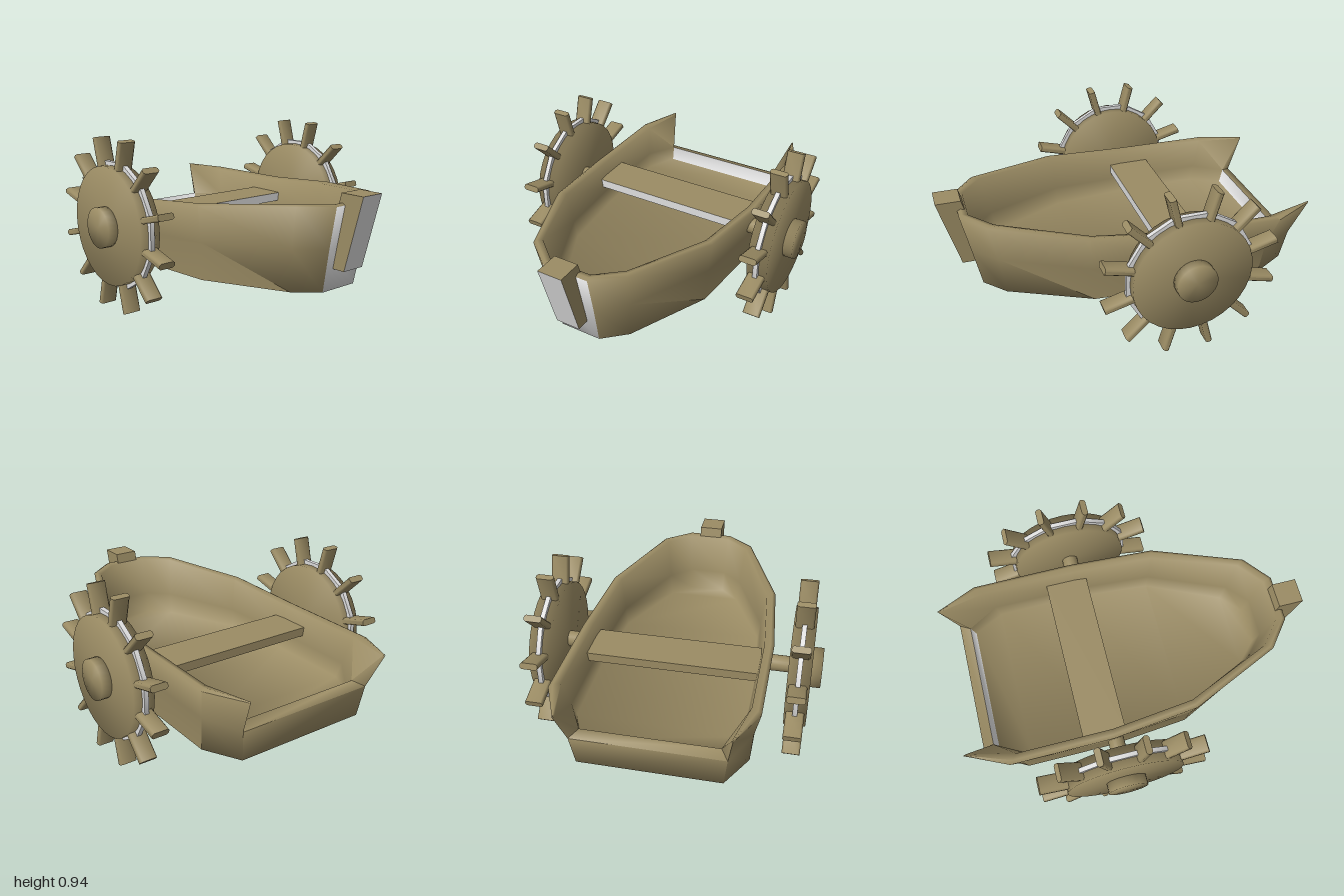
import * as THREE from 'three';
import { mergeVertices, toCreasedNormals } from 'three/addons/utils/BufferGeometryUtils.js';

const wood = new THREE.MeshStandardMaterial({ color: 0x9b8c64 });
wood.name = 'wood';
const grey = new THREE.MeshStandardMaterial({ color: 0xdedede });
grey.name = 'pale grey';

function part(name, geometry, material, parent) {
  const mesh = new THREE.Mesh(geometry, material);
  mesh.name = name;
  parent.add(mesh);
  return mesh;
}

// Blend the normals over all edges
function soften(g) {
  g.deleteAttribute('normal');
  g.deleteAttribute('uv');
  const merged = mergeVertices(g, 1e-4);
  merged.computeVertexNormals();
  return merged;
}

// Cylinder along x
function softCylinder(radius, x0, x1, sides = 32) {
  const g = new THREE.CylinderGeometry(radius, radius, x1 - x0, sides);
  return soften(g.rotateZ(Math.PI / 2).translate((x0 + x1) / 2, 0, 0));
}

function hullGeometry() {
  // Half stations from stern to bow: outer bottom, knuckle and rim
  const stations = [
    [[0.38, 0.22, -0.89], [0.4, 0.395, -0.915], [0.43, 0.595, -1.0]],
    [[0.485, 0.22, -0.7], [0.5, 0.41, -0.72], [0.535, 0.595, -0.77]],
    [[0.485, 0.22, -0.2], [0.5, 0.41, -0.2], [0.535, 0.6, -0.2]],
    [[0.445, 0.22, 0.25], [0.46, 0.43, 0.26], [0.49, 0.638, 0.28]],
    [[0.235, 0.22, 0.69], [0.255, 0.45, 0.72], [0.28, 0.682, 0.77]],
    [[0.115, 0.22, 0.8], [0.125, 0.45, 0.845], [0.13, 0.682, 0.89]],
  ];
  const inset = ([x, , z], d, y) => [x * (1 - d / 0.5), y, z * (1 - d / 0.9)];
  const between = (a, b, t) => a.map((v, i) => v + (b[i] - v) * t);

  // Close each section over the bevelled rim and down the inside to the floor
  const right = stations.map(([bottom, mid, rim], i) => {
    if (i === 0) {
      return [bottom, mid, rim, [0.427, 0.6, -0.998], [0.422, 0.593, -0.99],
        [0.36, 0.415, -0.855], [0.355, 0.335, -0.835]];
    }
    const outer = inset(rim, 0, rim[1] - 0.01);
    const crown = inset(rim, 0.018, rim[1]);
    const inner = inset(rim, 0.05, rim[1] - 0.01);
    const floor = inset(bottom, 0.047, 0.335);
    return [bottom, mid, outer, crown, inner, between(inner, floor, 0.65), floor];
  });
  const left = right.map(s => s.map(([x, y, z]) => [-x, y, z])).reverse();
  const P = [...right, ...left];
  const last = P.length - 1;

  const woodFaces = [], greyFaces = [];
  const quad = (list, a, b, c, d) => list.push(...a, ...b, ...c, ...a, ...c, ...d);

  // Sides, rim and inner walls, with a grey strip down the bow
  for (let i = 0; i < last; i++) {
    for (let k = 0; k < 6; k++) {
      const list = i === 5 && k < 2 ? greyFaces : woodFaces;
      quad(list, P[i][k], P[i][k + 1], P[i + 1][k + 1], P[i + 1][k]);
    }
  }
  // Floor and underside
  for (let i = 0; i < 5; i++) {
    const j = last - i;
    quad(woodFaces, P[i][6], P[j][6], P[j - 1][6], P[i + 1][6]);
    quad(greyFaces, P[i][0], P[i + 1][0], P[j - 1][0], P[j][0]);
  }
  // Low stern board and the ends of the side wings
  const R = P[0], L = P[last];
  quad(woodFaces, R[0], L[0], L[1], R[1]);
  quad(woodFaces, R[1], L[1], L[5], R[5]);
  quad(greyFaces, R[5], L[5], L[6], R[6]);
  quad(woodFaces, R[1], R[5], R[4], R[2]);
  quad(woodFaces, L[1], L[2], L[4], L[5]);

  const g = new THREE.BufferGeometry();
  g.setAttribute('position', new THREE.Float32BufferAttribute([...woodFaces, ...greyFaces], 3));
  const creased = toCreasedNormals(g, 1.46);
  creased.clearGroups();
  creased.addGroup(0, woodFaces.length / 3, 0);
  creased.addGroup(woodFaces.length / 3, greyFaces.length / 3, 1);
  return creased;
}

// Paddle blade with chamfered long edges, standing on the wheel rim
function bladeGeometry() {
  const outline = [[0.048, -0.009], [0.048, 0.009], [0.038, 0.0175], [-0.038, 0.0175],
    [-0.048, 0.009], [-0.048, -0.009], [-0.038, -0.0175], [0.038, -0.0175]];
  const shape = new THREE.Shape(outline.map(([x, y]) => new THREE.Vector2(x, y)));
  const g = new THREE.ExtrudeGeometry(shape, { depth: 0.18, bevelEnabled: false });
  return toCreasedNormals(g.rotateX(-Math.PI / 2).translate(0.685, 0.3, 0), 0.9);
}

// Paddle wheel pointing along +x
function paddleWheel(name) {
  const wheel = new THREE.Group();
  wheel.name = name;
  part('axle', softCylinder(0.045, 0.495, 0.64, 16), wood, wheel);
  part('wheelDisc', softCylinder(0.325, 0.628, 0.745), wood, wheel);
  part('hub', softCylinder(0.11, 0.735, 0.8, 24), wood, wheel);

  const ring = new THREE.CylinderGeometry(0.355, 0.355, 0.025, 12, 1, false, Math.PI / 12);
  ring.rotateZ(Math.PI / 2).translate(0.685, 0, 0);
  part('wheelRing', toCreasedNormals(ring, 0.6), grey, wheel);

  const blade = bladeGeometry();
  for (let i = 0; i < 12; i++) {
    part('paddle', blade, wood, wheel).rotation.x = (i + 0.5) * Math.PI / 6;
  }
  wheel.position.set(0, 0.475, -0.185);
  return wheel;
}

export function createModel() {
  const model = new THREE.Group();
  model.name = 'paddleBoat';
  part('hull', hullGeometry(), [wood, grey], model);

  // Box face order: +x, -x, +y, -y, +z, -z
  const greyFront = [wood, wood, wood, wood, grey, wood];

  const bench = part('bench', new THREE.BoxGeometry(0.97, 0.05, 0.24), greyFront, model);
  bench.position.set(0, 0.49, -0.24);

  // Bow post, sheared forward towards the top
  const post = new THREE.BoxGeometry(0.136, 0.39, 0.135);
  const pos = post.attributes.position;
  for (let i = 0; i < pos.count; i++) {
    pos.setZ(i, pos.getZ(i) + pos.getY(i) * 0.27);
  }
  post.computeVertexNormals();
  part('bowPost', post, greyFront, model).position.set(-0.003, 0.535, 0.88);

  const leftWheel = paddleWheel('leftPaddleWheel');
  const rightWheel = paddleWheel('rightPaddleWheel');
  rightWheel.rotation.y = Math.PI;
  rightWheel.position.z = leftWheel.position.z;
  model.add(leftWheel, rightWheel);
  return model;
}
